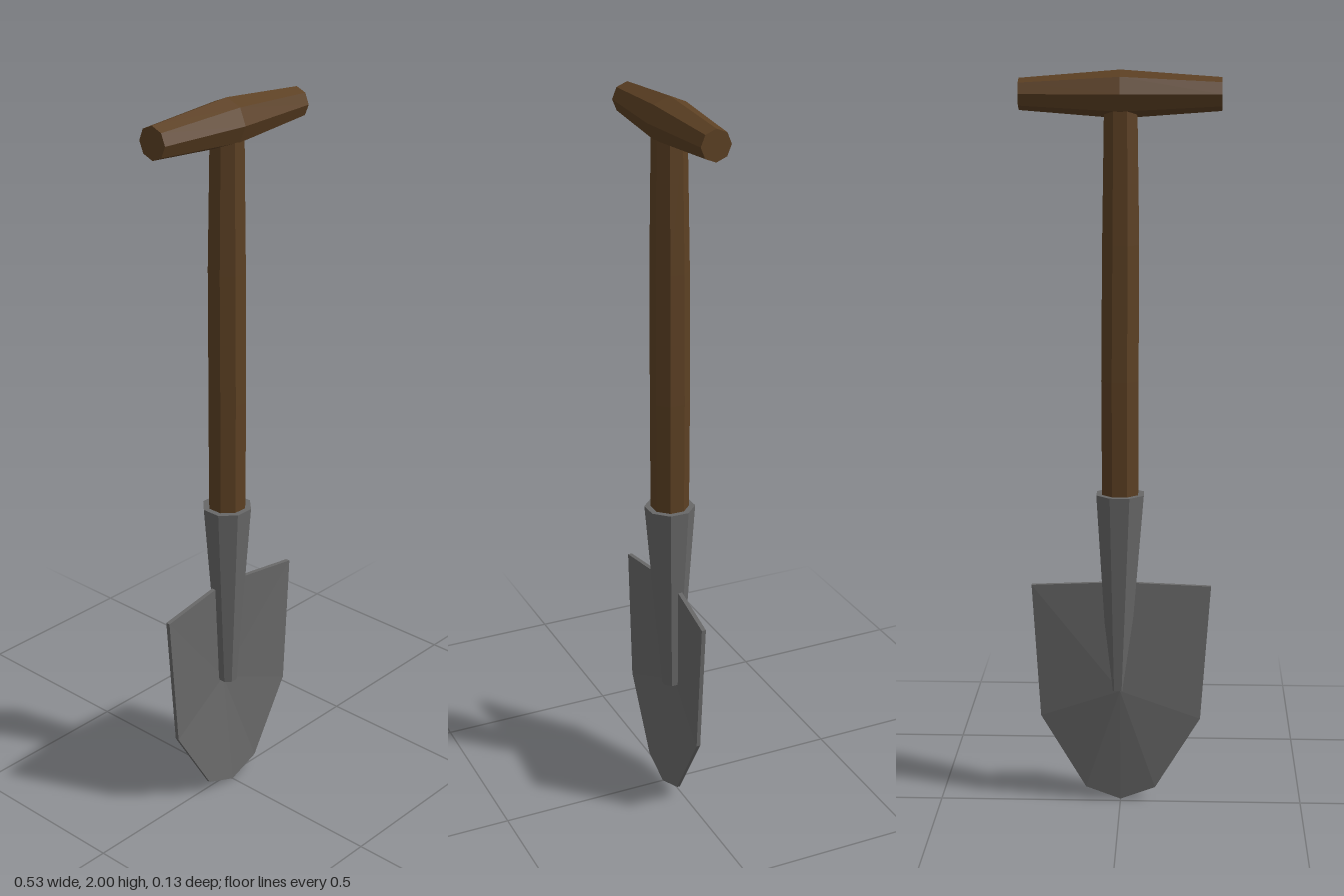
import * as THREE from 'three';

const SIDES = 8;

// Octagonal loft through rings [x, y, z, radius], bottom to top, with end caps.
function loft(rings, turn) {
  const pts = rings.map(([x, y, z, r]) =>
    Array.from({ length: SIDES }, (_, i) => {
      const a = (i / SIDES) * Math.PI * 2 + turn;
      return [x + Math.sin(a) * r, y, z + Math.cos(a) * r];
    }));
  const out = [];
  const last = rings.length - 1;
  for (let i = 0; i < SIDES; i++) {
    const j = (i + 1) % SIDES;
    for (let k = 0; k < last; k++) {
      const [a, b, c, d] = [pts[k][i], pts[k][j], pts[k + 1][j], pts[k + 1][i]];
      out.push(...a, ...b, ...c, ...a, ...c, ...d);
    }
    out.push(...rings[0].slice(0, 3), ...pts[0][j], ...pts[0][i]);
    out.push(...rings[last].slice(0, 3), ...pts[last][i], ...pts[last][j]);
  }
  return toGeometry(out);
}

function toGeometry(positions) {
  const g = new THREE.BufferGeometry();
  g.setAttribute('position', new THREE.Float32BufferAttribute(positions, 3));
  g.computeVertexNormals();
  return g;
}

// Shallow dished sheet: a front and a back fan joined by a thin rim.
function bladeGeometry() {
  // x, y, front z, back z; counter-clockwise seen from the front
  const rim = [
    [0, 0, 0.022, 0.014],
    [0.096, 0.036, 0.021, 0.012],
    [0.22, 0.245, 0.02, 0.009],
    [0.243, 0.62, 0.018, 0.006],
    [0, 0.637, -0.008, -0.02],
    [-0.247, 0.62, 0.018, 0.006],
    [-0.22, 0.24, 0.02, 0.009],
    [-0.096, 0.036, 0.021, 0.012],
  ];
  const front = [0, 0.33, -0.015];
  const back = [0, 0.33, -0.027];
  const out = [];
  rim.forEach((p, i) => {
    const q = rim[(i + 1) % rim.length];
    const pf = [p[0], p[1], p[2]], pb = [p[0], p[1], p[3]];
    const qf = [q[0], q[1], q[2]], qb = [q[0], q[1], q[3]];
    out.push(...front, ...pf, ...qf);
    out.push(...back, ...qb, ...pb);
    out.push(...pf, ...pb, ...qb, ...pf, ...qb, ...qf);
  });
  return toGeometry(out);
}

export function createModel() {
  const wood = new THREE.MeshStandardMaterial({ color: 0x5c4023 });
  wood.name = 'dark wood';
  const steel = new THREE.MeshStandardMaterial({ color: 0x686868 });
  steel.name = 'grey steel';

  const model = new THREE.Group();
  model.name = 'shovel';
  const add = (name, geometry, material) => {
    const mesh = new THREE.Mesh(geometry, material);
    mesh.name = name;
    model.add(mesh);
    return mesh;
  };

  const flat = Math.PI / SIDES; // turns a flat facet to the front

  // Blade and the tapering socket that runs down into it
  add('blade', bladeGeometry(), steel);
  add('socket', loft([
    [0.006, 0.33, -0.003, 0.027],
    [0, 0.88, 0, 0.069],
  ], flat), steel);

  // Slightly uneven shaft
  add('shaft', loft([
    [0, 0.8, 0, 0.052],
    [0.001, 1.19, 0, 0.053],
    [-0.001, 1.55, 0, 0.052],
    [-0.001, 1.92, 0.001, 0.046],
  ], flat), wood);

  // Cross grip, thickest in the middle, lofted upright and laid along x
  const grip = loft([
    [0, -0.263, 0, 0.043],
    [0, 0, 0, 0.062],
    [0, 0.263, 0, 0.041],
  ], 0);
  grip.rotateZ(-Math.PI / 2);
  add('grip', grip, wood).position.y = 1.938;

  return model;
}
